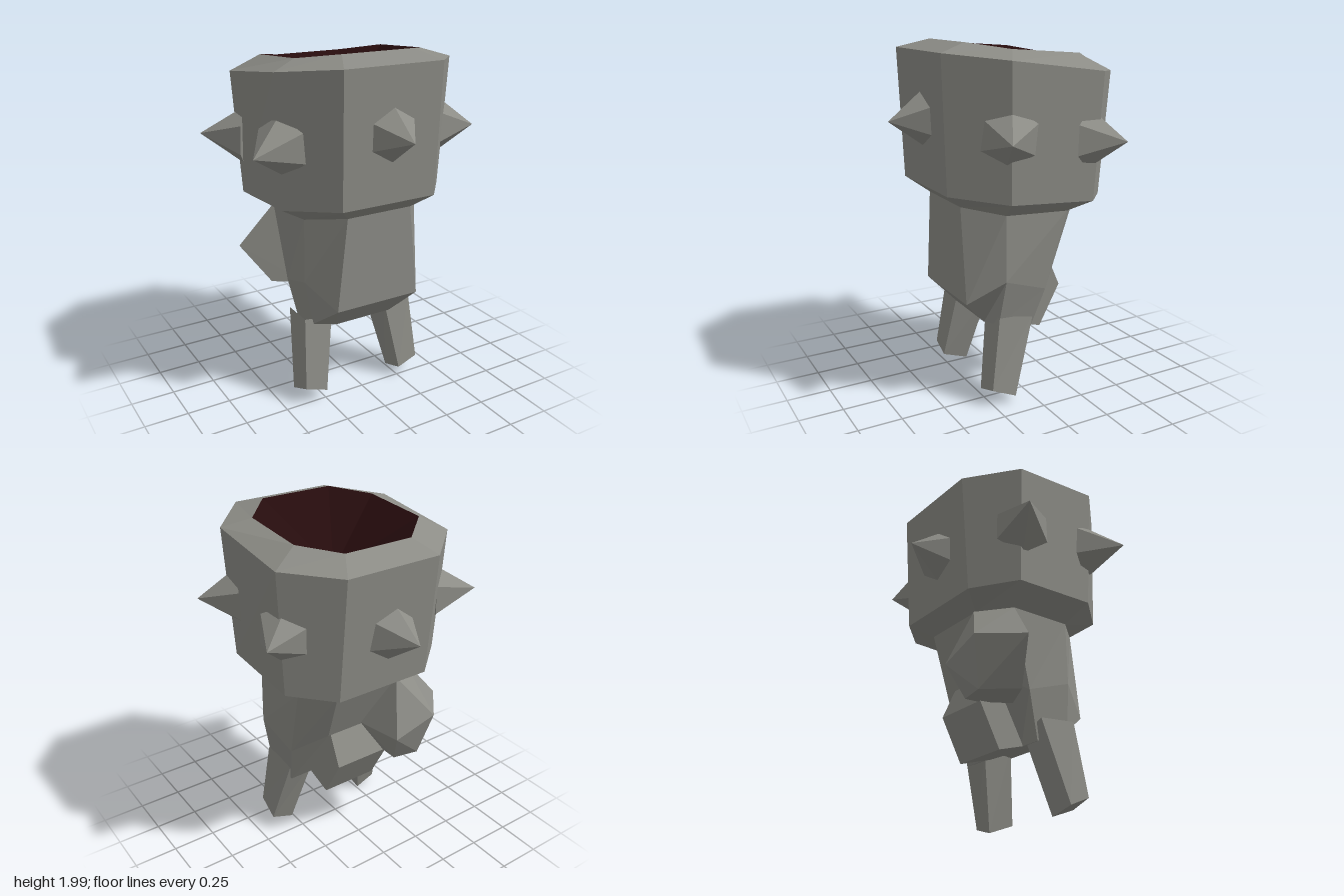
import * as THREE from 'three';
import { ConvexGeometry } from 'three/addons/geometries/ConvexGeometry.js';

const stone = new THREE.MeshStandardMaterial({ color: 0x8c8c86 });
stone.name = 'grey stone';
const maroon = new THREE.MeshStandardMaterial({ color: 0x260c0d });
maroon.name = 'dark maroon';

// Joins rings of corners (bottom to top, counterclockwise from above) with flat faces
function loft(rings) {
  const pos = [];
  for (let r = 0; r < rings.length - 1; r++) {
    const lo = rings[r], hi = rings[r + 1], n = lo.length;
    for (let i = 0; i < n; i++) {
      const j = (i + 1) % n;
      pos.push(...lo[i], ...lo[j], ...hi[j], ...lo[i], ...hi[j], ...hi[i]);
    }
  }
  const g = new THREE.BufferGeometry();
  g.setAttribute('position', new THREE.Float32BufferAttribute(pos, 3));
  g.computeVertexNormals();
  return g;
}

// Eight-cornered ring from four corners of the left half, mirrored about x = cx
function octagon(cx, ...half) {
  const left = half.map(([x, y, z]) => [cx + x, y, z]);
  const right = half.map(([x, y, z]) => [cx - x, y, z]);
  return [right[0], ...left, right[3], right[2], right[1]];
}

// A ring shrunk to one point closes a loft
const point = (p, n) => Array.from({ length: n }, () => p);

export function createModel() {
  const model = new THREE.Group();
  model.name = 'spikedCreature';
  const add = (name, geometry, material = stone) => {
    const mesh = new THREE.Mesh(geometry, material);
    mesh.name = name;
    model.add(mesh);
    return mesh;
  };

  // Shared rings: the neck joins head and body, the inner rim joins head and mouth
  const neck = octagon(0.025, [0.2, 1.145, 0.37], [0.36, 1.11, 0.18], [0.36, 1.09, -0.2], [0.2, 1.08, -0.34]);
  const innerRim = octagon(0.02, [0.215, 2.0, 0.34], [0.385, 1.97, 0.16], [0.39, 1.94, -0.24], [0.205, 1.905, -0.4]);

  // Cup-shaped head with a bevelled rim
  add('head', loft([
    neck,
    octagon(0.015, [0.285, 1.23, 0.48], [0.5, 1.2, 0.22], [0.5, 1.165, -0.28], [0.285, 1.14, -0.465]),
    octagon(0.015, [0.295, 1.955, 0.505], [0.535, 1.925, 0.24], [0.54, 1.855, -0.3], [0.285, 1.83, -0.525]),
    innerRim,
  ]));
  add('mouth', loft([innerRim, point([0.01, 1.65, 0], 8)]), maroon);

  // Tapering body
  add('body', loft([
    point([0.02, 0.42, 0.1], 8),
    octagon(0.02, [0.18, 0.45, 0.22], [0.32, 0.48, 0.2], [0.3, 0.39, 0], [0.17, 0.39, 0]),
    octagon(0.025, [0.26, 0.61, 0.37], [0.365, 0.74, 0.18], [0.34, 0.65, -0.08], [0.17, 0.76, -0.21]),
    neck,
  ]));

  // Legs, splayed outward and forward
  const foot = [[0.25, 0.07, 0.27], [0.38, 0.11, 0.26], [0.39, 0.05, 0.12], [0.26, 0.01, 0.11]];
  const hip = [[0.18, 0.5, 0.2], [0.35, 0.52, 0.2], [0.335, 0.5, -0.02], [0.17, 0.45, 0]];
  const legRings = [point([0.32, 0.06, 0.19], 4), foot, hip];
  const flip = ring => ring.map(([x, y, z]) => [-x, y, z]).reverse();
  add('leftLeg', loft(legRings));
  add('rightLeg', loft(legRings.map(flip)));

  const hull = points => new ConvexGeometry(points.map(p => new THREE.Vector3(...p)));

  // Stubby tail
  const tailSide = [[0.39, 0], [0.34, -0.16], [0.58, -0.29], [0.76, -0.21], [0.7, 0]];
  add('tail', hull([-0.16, 0.18].flatMap(x => tailSide.map(([y, z]) => [x, y, z]))));

  // Lump growing from the right of the back
  add('backLump', hull([
    [-0.17, 1.08, -0.35], [-0.335, 1.09, -0.2], [-0.53, 0.84, -0.27], [-0.35, 0.84, -0.48],
    [-0.09, 0.76, -0.47], [-0.03, 0.77, -0.21], [-0.37, 0.61, -0.18], [-0.3, 0.57, -0.41],
    [-0.15, 0.57, -0.38], [-0.14, 0.58, -0.28], [-0.2, 0.6, -0.1],
  ]));

  // Six-sided spikes: name, base centre, tip
  const spikes = [
    ['frontSpike', [0.02, 1.6, 0.47], [0.02, 1.595, 0.68]],
    ['backSpike', [-0.01, 1.46, -0.47], [-0.03, 1.455, -0.685]],
    ['leftFrontSpike', [0.485, 1.545, 0.22], [0.68, 1.54, 0.31]],
    ['rightFrontSpike', [-0.475, 1.545, 0.22], [-0.685, 1.53, 0.33]],
    ['leftBackSpike', [0.485, 1.5, -0.26], [0.665, 1.5, -0.38]],
    ['rightBackSpike', [-0.475, 1.5, -0.26], [-0.685, 1.51, -0.385]],
  ];
  for (const [name, base, tip] of spikes) {
    const a = new THREE.Vector3(...base), b = new THREE.Vector3(...tip);
    const dir = b.clone().sub(a), length = dir.length();
    const cone = new THREE.ConeGeometry(0.16, length, 6).toNonIndexed();
    cone.computeVertexNormals();
    const spike = add(name, cone);
    spike.position.copy(a).add(b).multiplyScalar(0.5);
    spike.quaternion.setFromUnitVectors(new THREE.Vector3(0, 1, 0), dir.normalize());
  }
  return model;
}
